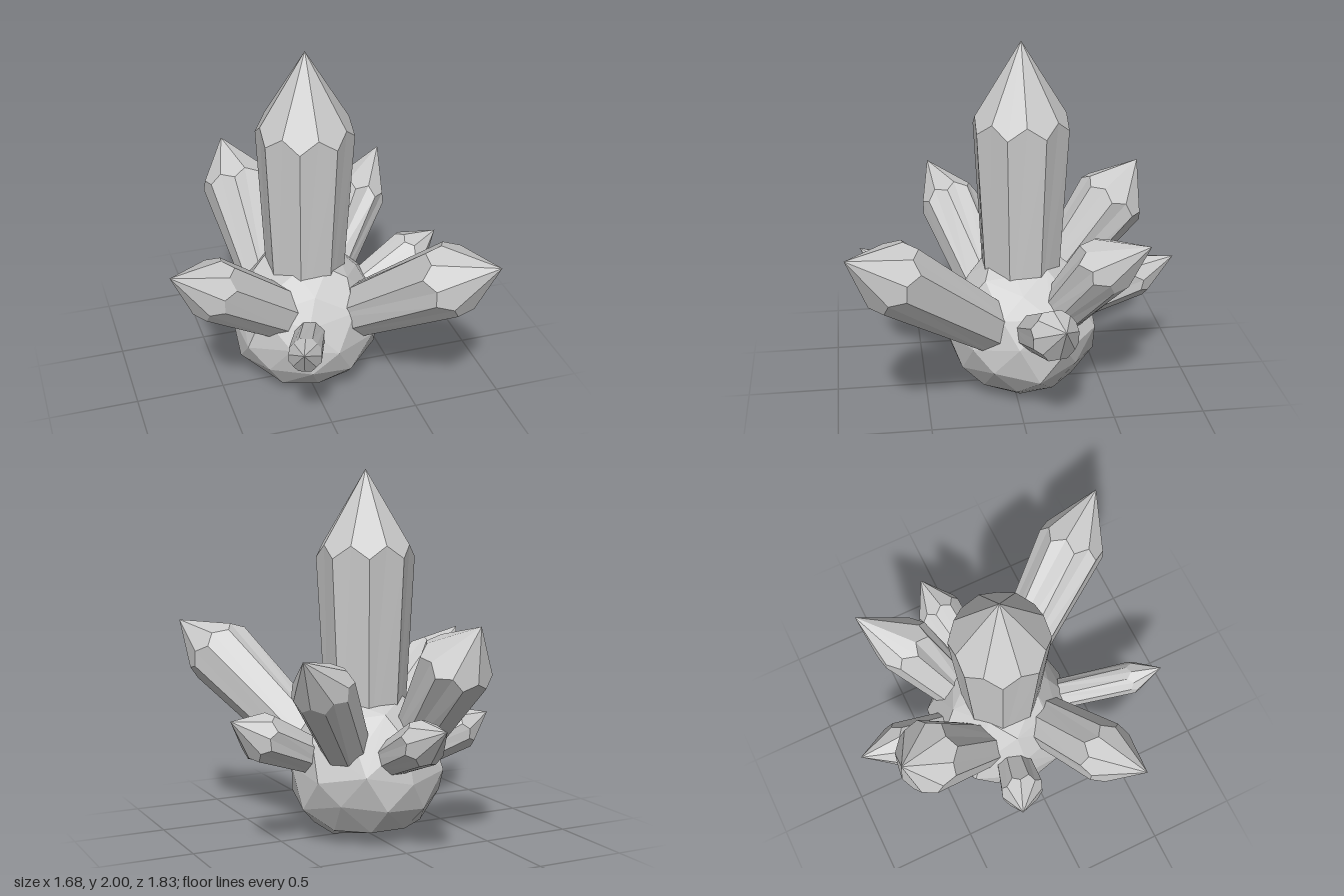
import * as THREE from 'three';
import { ConvexGeometry } from 'three/addons/geometries/ConvexGeometry.js';

const material = new THREE.MeshStandardMaterial({ color: 0xcccccc, flatShading: true });
const SIDES = 8;

// Eight-sided crystal: a flaring shaft from root to shoulder, capped by a pyramid
// turned half a step, so its ridges end in the middle of the shaft faces.
function crystalGeometry(root, shoulder, tip, rootRadius, radius) {
  const axis = shoulder.clone().sub(root).normalize();
  const ref = Math.abs(axis.y) > 0.99 ? new THREE.Vector3(0, 0, 1) : new THREE.Vector3(0, 1, 0);
  const u = new THREE.Vector3().crossVectors(ref, axis).normalize();
  const v = new THREE.Vector3().crossVectors(axis, u);
  const ring = (centre, r, i) => {
    const a = (i * Math.PI * 2) / SIDES;
    return centre.clone().addScaledVector(u, Math.cos(a) * r).addScaledVector(v, Math.sin(a) * r);
  };
  const half = Math.PI / SIDES;
  const drop = 1 / Math.cos(half) ** 2;
  const ridge = (i) => ring(shoulder, radius, i);
  const corner = (i) => {
    const middle = ridge(i).add(ridge(i + 1)).multiplyScalar(0.5);
    return tip.clone().add(middle.sub(tip).multiplyScalar(drop));
  };
  const foot = (i) => ring(root, rootRadius / Math.cos(half), i + 0.5);

  const points = [];
  for (let i = 0; i < SIDES; i++) {
    const a = ridge(i), b = ridge(i + 1);
    const c0 = corner(i - 1), c1 = corner(i);
    const f0 = foot(i - 1), f1 = foot(i);
    points.push(tip, a, c1, tip, c1, b); // pyramid face
    points.push(f0, f1, c1, f0, c1, a, f0, a, c0); // shaft face
    points.push(root, f1, f0); // hidden end
  }
  const geometry = new THREE.BufferGeometry().setFromPoints(points);
  geometry.computeVertexNormals();
  return geometry;
}

// Rounded, faceted rock: the hull of slightly irregular rings
function rockGeometry() {
  const points = [new THREE.Vector3(-0.15, 0, -0.02), new THREE.Vector3(0.2, 0.01, -0.02)];
  const rings = [ // height, radius, count, turn
    [0.08, 0.295, 9, 0.2], [0.22, 0.4, 10, 0.5], [0.38, 0.43, 10, 0.15],
    [0.55, 0.385, 9, 0.4], [0.69, 0.29, 8, 0.1], [0.77, 0.2, 7, 0.3],
  ];
  rings.forEach(([y, r, n, turn], k) => {
    for (let i = 0; i < n; i++) {
      const a = turn + (i / n) * Math.PI * 2;
      const wobble = 1 + 0.025 * Math.sin(i * 2.7 + k * 1.9);
      const lift = k === 0 ? 0 : 0.03 * Math.sin(i * 3.9 + k);
      points.push(new THREE.Vector3(0.01 + Math.cos(a) * r * wobble, Math.min(y + lift, 0.78),
        -0.05 + Math.sin(a) * r * wobble));
    }
  });
  return new ConvexGeometry(points);
}

// name, root, shoulder, tip, root radius, shoulder radius
const crystals = [
  ['mainCrystal', [0.01, 0.4, -0.045], [0.01, 1.6, -0.045], [0.01, 2, -0.045], 0.19, 0.247],
  ['frontLeftCrystal', [0.16, 0.36, 0.03], [0.6, 0.98, 0.715], [0.745, 1.13, 0.915], 0.125, 0.185],
  ['frontRightCrystal', [-0.14, 0.5, 0.11], [-0.63, 0.9, 0.31], [-0.84, 1.06, 0.41], 0.135, 0.158],
  ['frontSmallCrystal', [-0.03, 0.42, 0.2], [-0.22, 0.66, 0.71], [-0.265, 0.755, 0.84], 0.08, 0.085],
  ['leftSmallCrystal', [0.25, 0.43, -0.05], [0.69, 0.63, -0.14], [0.845, 0.72, -0.165], 0.085, 0.125],
  ['backLeftCrystal', [0.16, 0.43, -0.19], [0.475, 0.92, -0.46], [0.645, 1.075, -0.63], 0.11, 0.155],
  ['backSmallCrystal', [0.03, 0.44, -0.28], [0.012, 0.64, -0.72], [0.005, 0.725, -0.915], 0.08, 0.115],
  ['backRightCrystal', [-0.17, 0.45, -0.18], [-0.24, 1.03, -0.62], [-0.285, 1.21, -0.755], 0.11, 0.188],
  ['rightSmallCrystal', [-0.25, 0.43, -0.11], [-0.54, 0.58, -0.175], [-0.66, 0.655, -0.23], 0.085, 0.115],
];

export function createModel() {
  const model = new THREE.Group();
  model.name = 'crystalCluster';
  const add = (name, geometry) => {
    const mesh = new THREE.Mesh(geometry, material);
    mesh.name = name;
    model.add(mesh);
  };
  add('rockBase', rockGeometry());
  for (const [name, root, shoulder, tip, r0, r1] of crystals) {
    const [a, b, c] = [root, shoulder, tip].map((p) => new THREE.Vector3(...p));
    add(name, crystalGeometry(a, b, c, r0, r1));
  }
  return model;
}
